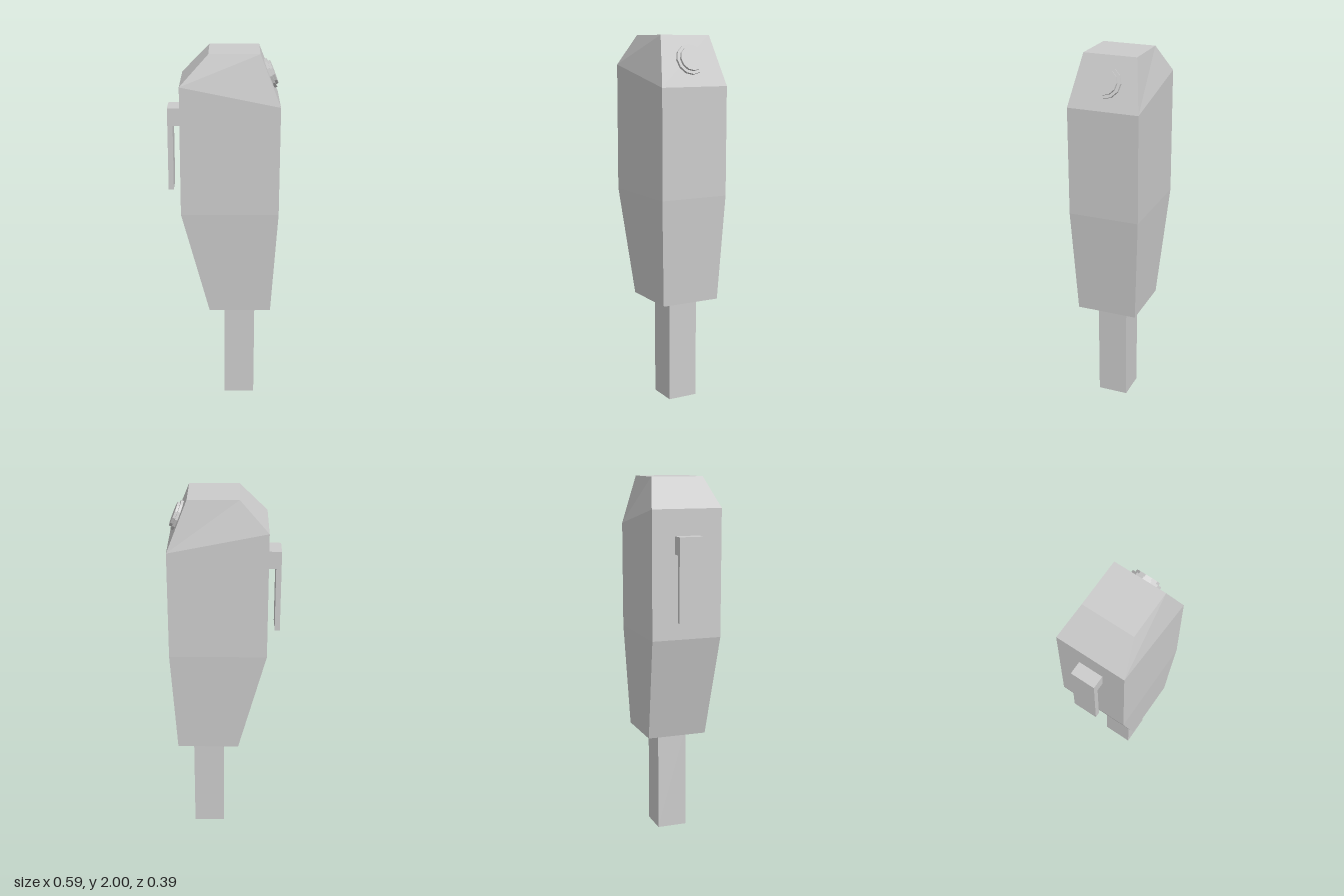
import * as THREE from 'three';

const material = new THREE.MeshStandardMaterial({ color: 0xcccccc, flatShading: true });

function addMesh(parent, name, geometry, x = 0, y = 0, z = 0) {
  const mesh = new THREE.Mesh(geometry, material);
  mesh.name = name;
  mesh.position.set(x, y, z);
  parent.add(mesh);
  return mesh;
}

// Box given by its limits in x and y, centred on z = 0
function addBlock(parent, name, x0, x1, y0, y1, depth) {
  return addMesh(parent, name, new THREE.BoxGeometry(x1 - x0, y1 - y0, depth), (x0 + x1) / 2, (y0 + y1) / 2);
}

// Closed four-sided loft through rectangular sections, each allowed to tilt in x
function loft(sections) {
  const points = [];
  const index = [];
  for (const { x0, y0, x1, y1, hz } of sections) {
    points.push(x0, y0, hz, x1, y1, hz, x1, y1, -hz, x0, y0, -hz);
  }
  for (let s = 0; s < sections.length - 1; s++) {
    for (let i = 0; i < 4; i++) {
      const a = s * 4 + i, b = s * 4 + (i + 1) % 4;
      index.push(a, b, b + 4, a, b + 4, a + 4);
    }
  }
  const t = (sections.length - 1) * 4;
  index.push(0, 2, 1, 0, 3, 2, t, t + 1, t + 2, t, t + 2, t + 3);
  const indexed = new THREE.BufferGeometry();
  indexed.setAttribute('position', new THREE.Float32BufferAttribute(points, 3));
  indexed.setIndex(index);
  const geometry = indexed.toNonIndexed();
  geometry.computeVertexNormals();
  return geometry;
}

export function createModel() {
  const model = new THREE.Group();
  model.name = 'handheldDevice';

  // Tapered casing with a slanted shoulder
  addMesh(model, 'casing', loft([
    { x0: -0.077, y0: 0.57, x1: 0.26, y1: 0.57, hz: 0.167 },
    { x0: -0.227, y0: 1.15, x1: 0.295, y1: 1.15, hz: 0.194 },
    { x0: -0.227, y0: 1.84, x1: 0.295, y1: 1.735, hz: 0.194 },
    { x0: -0.077, y0: 2, x1: 0.188, y1: 2, hz: 0.145 },
  ]));

  // Square stem below the casing
  addBlock(model, 'stem', 0.005, 0.175, 0, 0.58, 0.167);

  // Belt clip: a bridge at the top and a hanging plate
  const clip = new THREE.Group();
  clip.name = 'clip';
  addBlock(clip, 'clipBridge', -0.27, -0.226, 1.605, 1.7, 0.135);
  addBlock(clip, 'clipPlate', -0.298, -0.27, 1.25, 1.7, 0.135);
  model.add(clip);

  // Stepped button standing square to the sloped face
  const button = new THREE.Group();
  button.name = 'button';
  button.position.set(0.24, 1.871, 0);
  button.rotation.z = -Math.atan2(0.265, 0.107);
  const disc = (r, h) => new THREE.CylinderGeometry(r, r, h, 12).rotateY(Math.PI / 2);
  addMesh(button, 'buttonRim', disc(0.082, 0.024), 0, 0.002);
  addMesh(button, 'buttonCap', disc(0.066, 0.02), 0, 0.0175);
  model.add(button);

  return model;
}
